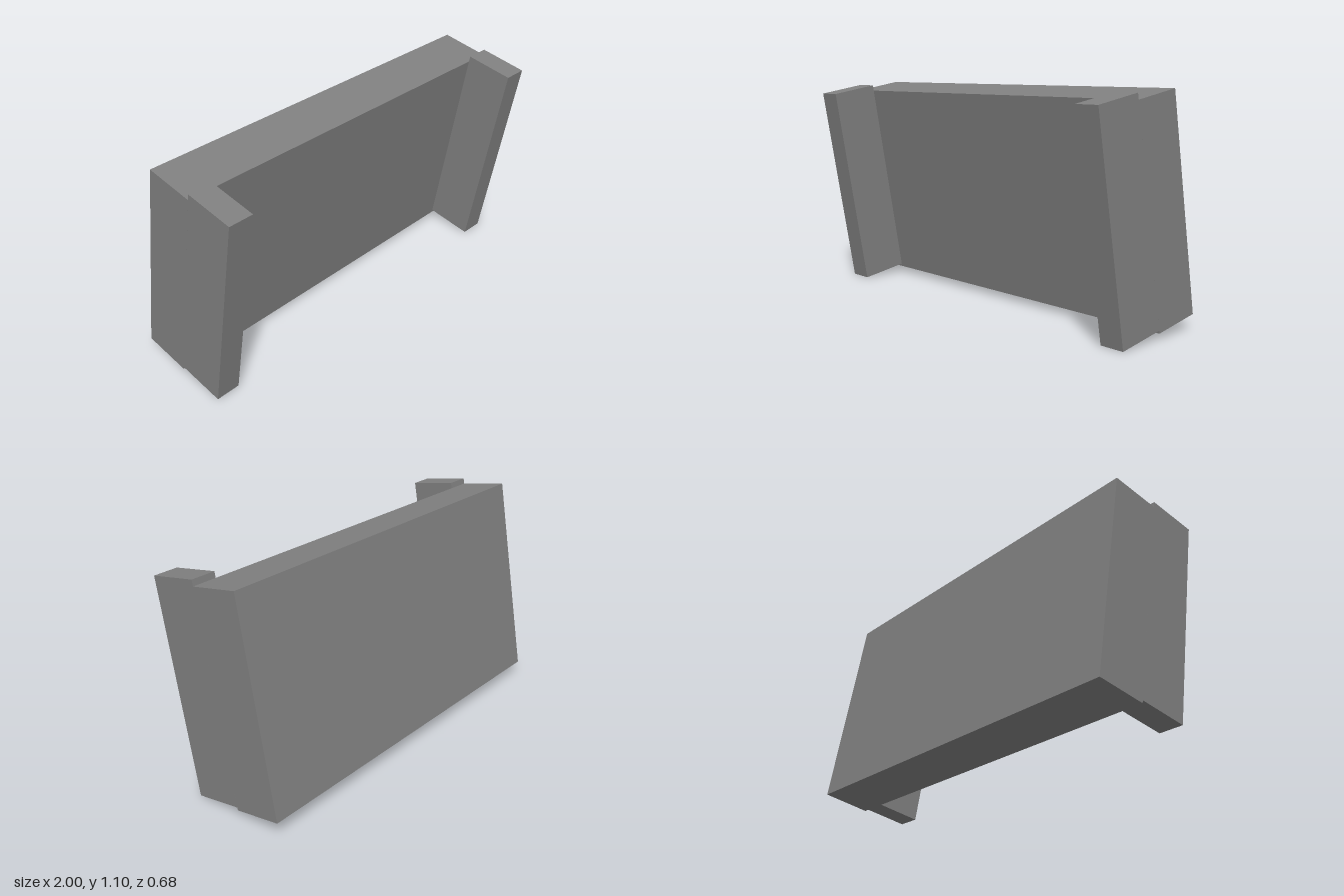
import * as THREE from 'three';

export function createModel() {
  const group = new THREE.Group();
  const grey = new THREE.MeshStandardMaterial({ color: 0x808080 });
  grey.name = 'plain grey';
  const tilt = THREE.MathUtils.degToRad(10);

  // Every part is a box leaning forward by the same angle
  function slab(name, size, position) {
    const mesh = new THREE.Mesh(new THREE.BoxGeometry(...size), grey);
    mesh.name = name;
    mesh.position.set(...position);
    mesh.rotation.x = tilt;
    group.add(mesh);
  }

  // Wide panel at the back
  slab('backPanel', [2, 1.046, 0.25], [0, 0.567, -0.125]);

  // Narrow upright at each end, in front of the panel and set slightly lower
  for (const side of [-1, 1]) {
    slab(side > 0 ? 'leftUpright' : 'rightUpright', [0.125, 1.062, 0.25], [side * 0.9375, 0.545, 0.125]);
  }
  return group;
}
